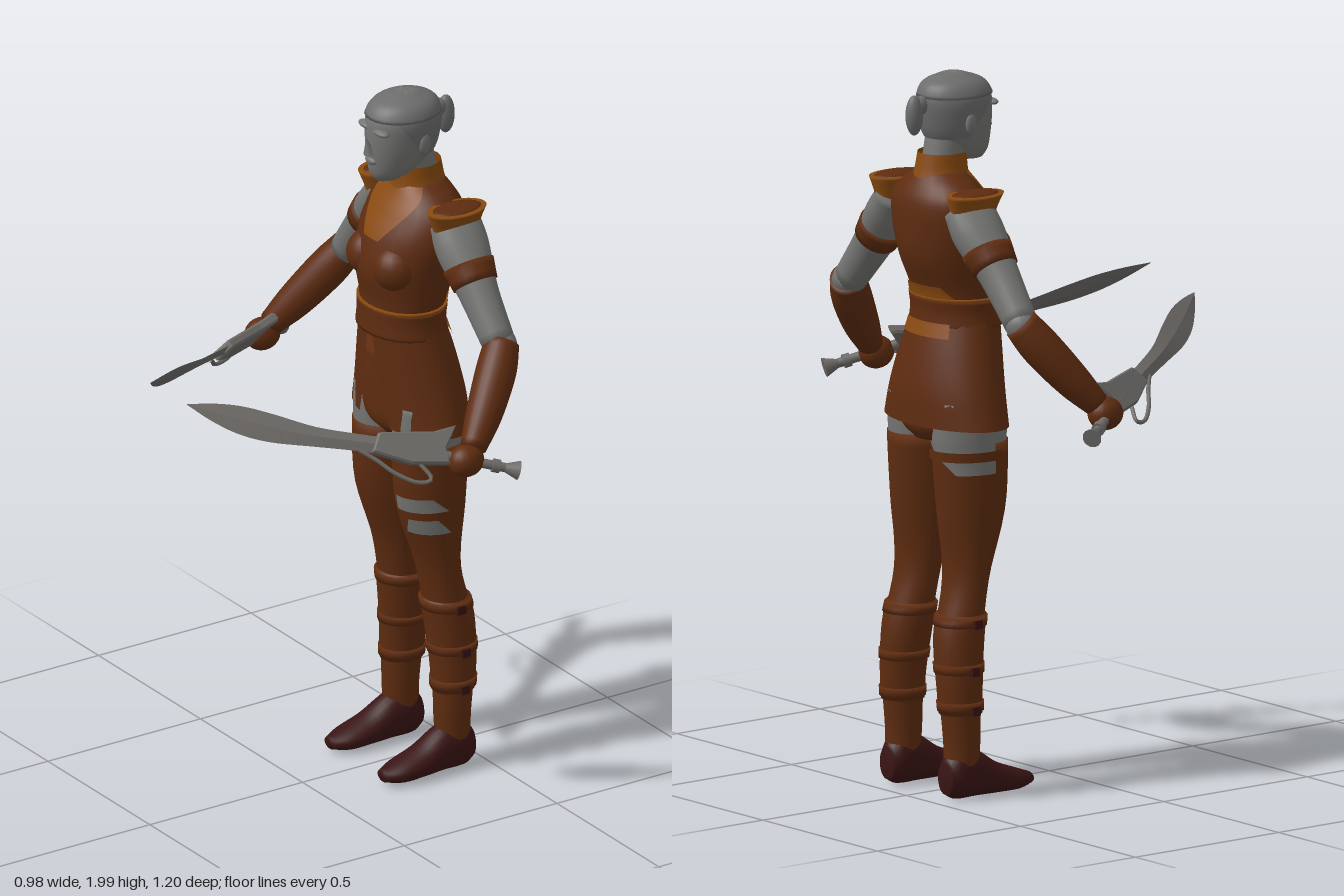
import * as THREE from 'three';

const paint = (name, color, side = THREE.FrontSide) => {
  const m = new THREE.MeshStandardMaterial({ color, side });
  m.name = name;
  return m;
};

// Smooth skin over elliptical cross-sections [x, y, z, radiusU, radiusV].
// from/to pick a stretch of the rows, span(f) an arc, grow thickens it.
function loft(rows, o = {}) {
  const { n = 24, steps = 5, grow = 0, span = null, caps = !span, faceted = false } = o;
  const from = o.from ?? 0, to = o.to ?? rows.length - 1;
  const axis = (o.axis ?? new THREE.Vector3(0, 1, 0)).clone().normalize();
  const ref = Math.abs(axis.x) > 0.9 ? new THREE.Vector3(0, 1, 0) : new THREE.Vector3(1, 0, 0);
  const u = ref.addScaledVector(axis, -ref.dot(axis)).normalize();
  const v = u.clone().cross(axis);
  const curve = new THREE.CubicInterpolant(rows.map((_, i) => i), rows.flat(), 5);
  const count = Math.max(2, Math.ceil((to - from) * steps));
  const cols = span ? n + 1 : n;
  const pos = [], idx = [], centres = [];
  for (let i = 0; i <= count; i++) {
    const f = i / count;
    const [x, y, z, ru, rv] = [...curve.evaluate(from + (to - from) * f)];
    const [a0, a1] = span ? span(f) : [0, Math.PI * 2];
    centres.push([x, y, z]);
    for (let j = 0; j < cols; j++) {
      const a = a0 + (a1 - a0) * j / n;
      const p = new THREE.Vector3(x, y, z)
        .addScaledVector(u, (ru + grow) * Math.cos(a))
        .addScaledVector(v, (rv + grow) * Math.sin(a));
      pos.push(p.x, p.y, p.z);
    }
  }
  for (let i = 0; i < count; i++) for (let j = 0; j < n; j++) {
    const a = i * cols + j, b = i * cols + (j + 1) % cols, c = a + cols, d = b + cols;
    idx.push(a, c, b, b, c, d);
  }
  if (caps) {
    const base = pos.length / 3, last = count * cols;
    pos.push(...centres[0], ...centres[count]);
    for (let j = 0; j < n; j++) {
      const k = (j + 1) % n;
      idx.push(base, j, k, base + 1, last + k, last + j);
    }
  }
  let g = new THREE.BufferGeometry();
  g.setAttribute('position', new THREE.Float32BufferAttribute(pos, 3));
  g.setIndex(idx);
  if (faceted) g = g.toNonIndexed();
  g.computeVertexNormals();
  return g;
}

export function createModel() {
  const skin = paint('skin', 0x747472);
  const hair = paint('hair', 0x6c6c6c);
  const leather = paint('leather', 0x5e2c10, THREE.DoubleSide);
  const trim = paint('tan trim', 0x884a10, THREE.DoubleSide);
  const boot = paint('dark boot leather', 0x3a1414);
  const steel = paint('steel', 0x6e6b68);

  const root = new THREE.Group();
  root.name = 'warrior';
  const body = new THREE.Group();
  body.name = 'figure';
  body.position.z = 0.01;
  root.add(body);
  const add = (name, geo, mat, parent = body) => {
    const m = new THREE.Mesh(geo, mat);
    m.name = name;
    parent.add(m);
    return m;
  };
  const ball = (name, mat, p, r) => {
    const m = add(name, new THREE.SphereGeometry(1, 20, 14), mat);
    m.position.set(...p);
    m.scale.set(...r);
    return m;
  };

  // Bodice, yoke and collar
  const torso = [[.318, 1.34, 0, .108, .13], [.322, 1.4, 0, .112, .138], [.335, 1.49, 0, .138, .152],
    [.352, 1.58, 0, .132, .168], [.37, 1.65, 0, .112, .162], [.375, 1.695, 0, .088, .125], [.372, 1.73, 0, .066, .07]];
  add('bodice', loft(torso), leather);
  add('frontYoke', loft(torso, { from: 3, to: 5.9, grow: .005, span: f => [Math.PI - .2 - f * .9, Math.PI + .2 + f * .9] }), trim);
  add('collar', loft([[.372, 1.69, 0, .085, .09], [.37, 1.73, 0, .076, .07], [.366, 1.78, 0, .07, .064]], { caps: false }), trim);
  for (const s of [1, -1]) ball('bust', leather, [.262, 1.505, s * .065], [.07, .068, .066]);

  // Belt and waist bands
  add('belt', loft([[.318, 1.3, 0, .116, .146], [.318, 1.34, 0, .114, .14], [.32, 1.375, 0, .116, .143]]), leather);
  add('upperWaistBand', loft(torso, { from: .65, to: 1.2, grow: .005, span: f => [-.85 + f * .35, .85 - f * .35] }), trim);
  add('beltPiping', loft(torso, { from: .6, to: .75, grow: .007 }), trim);

  // Skirt with an opening at the front, and the shorts beneath
  const skirt = [[.35, 1.03, 0, .126, .222], [.347, 1.12, 0, .126, .198], [.335, 1.22, 0, .119, .17], [.318, 1.33, 0, .106, .138]];
  add('skirt', loft(skirt, { n: 40, span: f => [-Math.PI + .35 - f * .3, Math.PI - .35 + f * .3] }), leather);
  add('lowerWaistBand', loft(skirt, { from: 2.5, to: 2.85, grow: .006, span: () => [-.65, .65] }), trim);
  add('shorts', loft([[.355, .985, 0, .085, .09], [.35, 1.03, 0, .116, .16], [.345, 1.12, 0, .117, .175], [.335, 1.24, 0, .108, .15]]), leather);

  // Head, hair and ponytail
  const head = [[.272, 1.75, 0, .04, .03], [.293, 1.775, 0, .075, .054], [.312, 1.825, 0, .099, .075], [.319, 1.88, 0, .107, .087],
    [.323, 1.93, 0, .106, .09], [.327, 1.97, 0, .084, .07], [.33, 1.993, 0, .028, .024]];
  add('neck', loft([[.368, 1.72, 0, .062, .056], [.355, 1.79, 0, .062, .056], [.342, 1.85, 0, .062, .06]]), skin);
  add('head', loft(head), skin);
  add('hairSides', loft(head, { from: 1.9, to: 4.2, grow: .005, span: f => [-1.35 - f * .9, 1.35 + f * .9] }), hair);
  add('hairTop', loft(head, { from: 4.1, to: 6, grow: .006 }), hair);
  ball('ponytailKnot', hair, [.44, 1.915, 0], [.026, .026, .02]);
  ball('ponytail', hair, [.463, 1.89, 0], [.026, .056, .022]);
  const nose = add('nose', new THREE.ConeGeometry(.018, .05, 8), skin);
  nose.position.set(.208, 1.858, 0);
  nose.rotation.z = .25;
  ball('lips', skin, [.219, 1.812, 0], [.012, .012, .024]);
  for (const s of [1, -1]) {
    ball('ear', skin, [.335, 1.865, s * .088], [.018, .03, .01]);
    ball('brow', skin, [.228, 1.905, s * .035], [.018, .01, .032]);
  }

  for (const s of [1, -1]) {
    const side = s > 0 ? 'left' : 'right';
    const mir = rows => rows.map(([x, y, z, a, b]) => [x, y, z * s, a, b]);
    const arc = (a, b) => (s > 0 ? [a, b] : [-b, -a]);

    // Leg, legging and torn gaps
    const leg = mir([[.405, .05, .127, .048, .046], [.399, .15, .127, .052, .049], [.404, .3, .124, .06, .055], [.397, .45, .112, .066, .065],
      [.367, .61, .104, .06, .071], [.346, .8, .1, .1, .087], [.348, 1, .096, .112, .094], [.348, 1.1, .095, .11, .092]]);
    add(side + 'Thigh', loft(leg, { from: 5.6, grow: -.003 }), skin);
    add(side + 'Legging', loft(leg, { to: 5.92 }), leather);
    if (s > 0) {
      add('leftUpperTear', loft(leg, { from: 5, to: 5.2, grow: .003, span: f => [1.55 + f * .45, 3.2] }), skin);
      add('leftLowerTear', loft(leg, { from: 4.65, to: 4.88, grow: .003, span: f => [1.5 + f * .4, 3 - f * .2] }), skin);
    } else {
      add('rightThighTear', loft(leg, { from: 5.5, to: 5.95, grow: .003, span: f => [-1.7, -.6 + f * 1.1] }), skin);
      add('rightThighStrap', loft(leg, { from: 5.68, to: 5.82, grow: .008, span: () => [-1.9, .4] }), leather);
    }

    // Greave with straps and buckles
    add(side + 'Greave', loft(leg, { from: 1.6, to: 3.4, grow: .005 }), leather);
    for (const [t, y, x] of [[1.65, .25, .4], [2.35, .36, .402], [3.2, .49, .39]]) {
      add(side + 'GreaveStrap', loft(leg, { from: t, to: t + .17, grow: .009 }), leather);
      const buckle = add(side + 'Buckle', new THREE.BoxGeometry(.026, .024, .014), boot);
      buckle.position.set(x, y, s * (t > 3 ? .184 : .188));
    }

    // Boot, flattened by its low sections
    add(side + 'Boot', loft(mir([[.458, .06, .127, .045, .03], [.425, .07, .127, .07, .049], [.36, .066, .127, .066, .051],
      [.29, .044, .129, .044, .053], [.22, .031, .13, .03, .05], [.17, .027, .13, .016, .026]]), { axis: new THREE.Vector3(-1, 0, 0) }), boot);

    // Arm, armband, gauntlet and hand
    const upper = mir([[.392, 1.64, .15, .078, .05], [.39, 1.575, .195, .078, .062], [.386, 1.48, .275, .056, .056], [.388, 1.36, .375, .046, .047]]);
    const upperAxis = new THREE.Vector3(0, -.28, s * .225);
    add(side + 'UpperArm', loft(upper, { axis: upperAxis }), skin);
    add(side + 'Armband', loft(upper, { axis: upperAxis, from: 1.4, to: 1.85, grow: .005 }), leather);
    ball(side + 'Elbow', skin, [.39, 1.36, s * .377], [.046, .046, .046]);
    add(side + 'Gauntlet', loft(mir([[.395, 1.365, .378, .048, .05], [.352, 1.3, .412, .056, .056], [.28, 1.205, .46, .05, .05],
      [.222, 1.135, .495, .036, .036]]), { axis: new THREE.Vector3(-.17, -.23, s * .117) }), leather);
    ball(side + 'Hand', leather, [.196, 1.108, s * .5], [.052, .046, .044]);

    // Flared shoulder pad with a rim
    add(side + 'ShoulderPad', loft(mir([[.39, 1.605, .162, .068, .03], [.388, 1.65, .165, .078, .04], [.386, 1.69, .17, .09, .056]])), trim);
    ball(side + 'ShoulderPadTop', leather, [.386, 1.688, s * .17], [.076, .012, .044]);
  }

  // Curved swords: local x runs from pommel to tip, local y across the blade
  function sword(name, pommel, tip, s) {
    const g = new THREE.Group();
    g.name = name;
    const p = new THREE.Vector3(...pommel);
    const d = new THREE.Vector3(...tip).sub(p).normalize();
    const w = new THREE.Vector3(0, .72, -s * .65);
    w.addScaledVector(d, -w.dot(d)).normalize();
    g.applyMatrix4(new THREE.Matrix4().makeBasis(d, w, d.clone().cross(w)).setPosition(p));
    body.add(g);
    const rod = (part, r0, r1, from, to) => {
      const m = add(part, new THREE.CylinderGeometry(r1, r0, to - from, 12), steel, g);
      m.rotation.z = -Math.PI / 2;
      m.position.x = (from + to) / 2;
    };
    rod('pommel', .027, .01, 0, .045);
    rod('pommelRing', .019, .019, .055, .075);
    rod('grip', .013, .015, .04, .28);
    const guard = new THREE.Shape([[.2, -.02], [.215, .02], [.195, .085], [.25, .055], [.31, .042], [.4, .022],
      [.41, -.03], [.3, -.04]].map(q => new THREE.Vector2(...q)));
    const guardMesh = add('guard', new THREE.ExtrudeGeometry(guard, { depth: .016, bevelThickness: .006, bevelSize: .005, bevelSegments: 1 }), steel, g);
    guardMesh.position.z = -.008;
    const bow = new THREE.CatmullRomCurve3([[.46, -.03], [.4, -.052], [.34, -.08], [.27, -.092], [.24, -.075], [.28, -.035]]
      .map(([x, y]) => new THREE.Vector3(x, y, 0)));
    add('knuckleBow', new THREE.TubeGeometry(bow, 24, .006, 6), steel, g);
    add('blade', loft([[.34, -.005, 0, .026, .009], [.46, -.012, 0, .025, .008], [.58, -.02, 0, .029, .007], [.7, -.02, 0, .041, .006],
      [.79, -.015, 0, .041, .005], [.87, -.008, 0, .026, .004], [.945, 0, 0, .001, .001]],
      { n: 4, axis: new THREE.Vector3(1, 0, 0), faceted: true }), steel, g);
  }
  sword('leftSword', [.325, 1.07, .565], [-.49, 1.32, .16], 1);
  sword('rightSword', [.315, 1.07, -.59], [-.455, 1.285, -.077], -1);

  return root;
}
